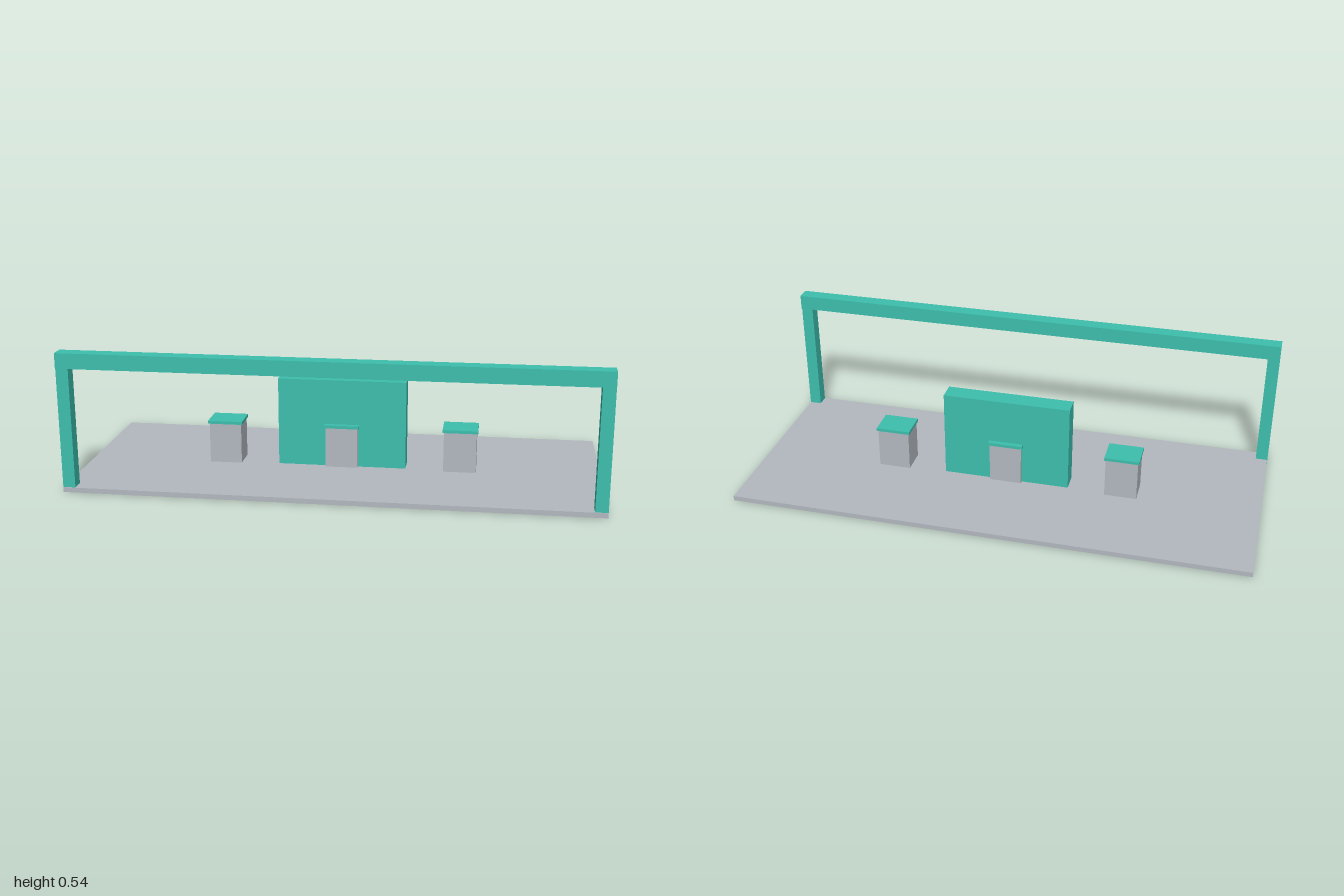
import * as THREE from 'three';

export function createModel() {
  const group = new THREE.Group();
  const grey = new THREE.MeshStandardMaterial({ name: 'concreteGrey', color: 0xb3b9c0 });
  const teal = new THREE.MeshStandardMaterial({ name: 'teal', color: 0x3dbfae });

  // Axis-aligned box given by its extents on each axis
  const box = (name, material, [x0, x1], [y0, y1], [z0, z1]) => {
    const mesh = new THREE.Mesh(new THREE.BoxGeometry(x1 - x0, y1 - y0, z1 - z0), material);
    mesh.position.set((x0 + x1) / 2, (y0 + y1) / 2, (z0 + z1) / 2);
    mesh.name = name;
    group.add(mesh);
  };

  // Ground slab, a hair inside the posts so their outer faces stay visible
  box('baseSlab', grey, [-0.999, 0.999], [0.001, 0.02], [-0.417, 0.417]);

  // Front gateway: two posts and a crossbeam
  box('leftPost', teal, [0.953, 1], [0, 0.48], [0.366, 0.414]);
  box('rightPost', teal, [-1, -0.953], [0, 0.48], [0.366, 0.414]);
  box('crossbeam', teal, [-1, 1], [0.477, 0.535], [0.361, 0.417]);

  // Central sign wall
  box('centralWall', teal, [-0.25, 0.25], [0.01, 0.367], [-0.038, 0.037]);

  // Row of three capped pedestals, the middle one passing through the wall
  for (const [side, x] of [['right', -0.461], ['middle', 0], ['left', 0.461]]) {
    box(side + 'Pedestal', grey, [x - 0.063, x + 0.063], [0.015, 0.18], [-0.052, 0.052]);
    box(side + 'PedestalCap', teal, [x - 0.068, x + 0.068], [0.178, 0.19], [-0.057, 0.057]);
  }

  return group;
}
